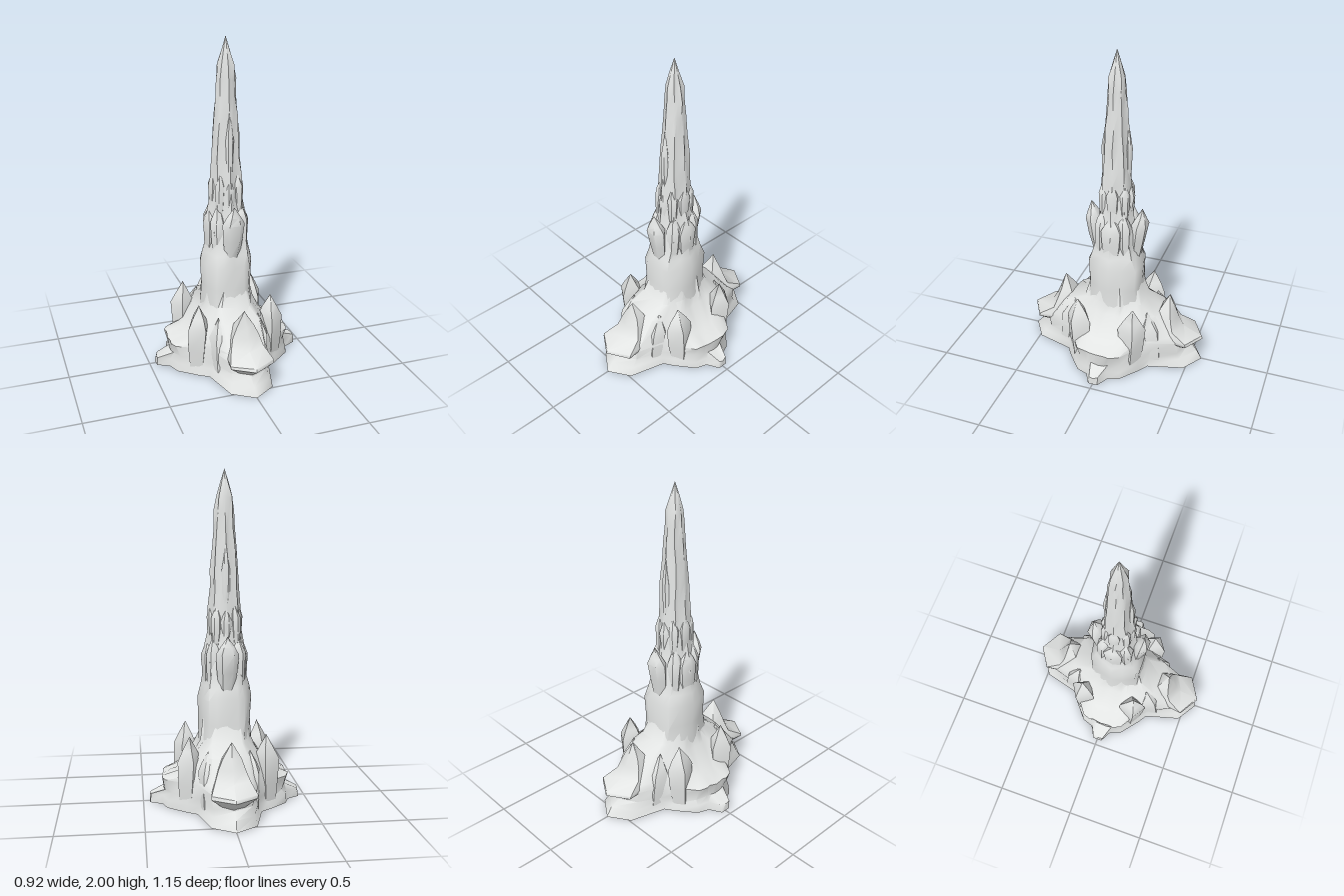
import * as THREE from 'three';
import { toCreasedNormals } from 'three/addons/utils/BufferGeometryUtils.js';

const stone = new THREE.MeshStandardMaterial({ color: 0xe2e4e3 });
stone.name = 'pale grey stone';

// Small repeatable wobble based on position
const wobble = (a, b, c, amount) => {
  const s = Math.sin(a * 127.1 + b * 311.7 + c * 74.7) * 43758.5453;
  return (s - Math.floor(s) - 0.5) * 2 * amount;
};

// Skin a stack of rings of [x, y, z], each running from +x towards +z
function loft(name, rings, rough = 0, crease = 0.9) {
  const n = rings[0].length, pos = [], index = [];
  rings.forEach((ring) => ring.forEach(([x, y, z]) => {
    const k = y > 0.001 && y < 1.9 ? rough : 0;
    pos.push(x + wobble(x, y, z, k), y + wobble(z, x, y, k), z + wobble(y, z, x, k));
  }));
  for (let r = 0; r < rings.length - 1; r++) {
    for (let i = 0; i < n; i++) {
      const a = r * n + i, b = r * n + (i + 1) % n;
      index.push(a, a + n, b, b, a + n, b + n);
    }
  }
  // End caps
  const cap = (ring, first, flip) => {
    const c = pos.length / 3;
    for (let k = 0; k < 3; k++) pos.push(ring.reduce((s, p) => s + p[k], 0) / n);
    for (let i = 0; i < n; i++) {
      const a = first + i, b = first + (i + 1) % n;
      index.push(c, flip ? b : a, flip ? a : b);
    }
  };
  cap(rings[0], 0, false);
  cap(rings[rings.length - 1], (rings.length - 1) * n, true);
  const geo = new THREE.BufferGeometry();
  geo.setAttribute('position', new THREE.Float32BufferAttribute(pos, 3));
  geo.setIndex(index);
  const mesh = new THREE.Mesh(toCreasedNormals(geo, crease), stone);
  mesh.name = name;
  return mesh;
}

// Mirror a quarter outline (from +x round to +z) into a full ring
function fullRing(y, q) {
  const half = [...q, ...q.slice(0, -1).reverse().map(([x, z]) => [-x, z])];
  const back = half.slice(1, -1).reverse().map(([x, z]) => [x, -z]);
  return [...half, ...back].map(([x, z]) => [x, y, z]);
}

// Pointed crystal whose tip leans by (dx, dz) from its foot
function shard(name, [x, y, z], h, rx, rz, { dx = 0, dz = 0, sides = 6, turn = 0 } = {}) {
  const profile = [[0, 0.65], [0.35, 0.88], [0.68, 1], [0.82, 0.62], [1, 0.01]];
  return loft(name, profile.map(([t, r]) => Array.from({ length: sides }, (_, i) => {
    const a = turn + (i / sides) * Math.PI * 2;
    return [x + dx * t + Math.cos(a) * rx * r, y + h * t, z + dz * t + Math.sin(a) * rz * r];
  })), 0.003);
}

export function createModel() {
  const model = new THREE.Group();

  // Rocky cross-shaped foot: ledges, undercut and a roof sweeping up to the tower
  const foot = [
    [0, [[.46, 0], [.46, .03], [.385, .07], [.36, .14], [.25, .23], [.19, .27], [.13, .49], [0, .575]]],
    [.05, [[.46, 0], [.45, .03], [.38, .06], [.35, .14], [.24, .22], [.18, .27], [.12, .46], [0, .54]]],
    [.09, [[.37, 0], [.37, .04], [.36, .07], [.34, .13], [.24, .21], [.17, .27], [.11, .43], [0, .48]]],
    [.17, [[.385, 0], [.38, .05], [.38, .08], [.36, .14], [.25, .21], [.18, .26], [.12, .43], [0, .47]]],
    [.21, [[.28, 0], [.28, .05], [.28, .08], [.27, .13], [.23, .2], [.17, .25], [.12, .39], [0, .42]]],
    [.34, [[.18, 0], [.18, .04], [.18, .08], [.18, .12], [.16, .18], [.15, .22], [.11, .29], [0, .31]]],
    [.4, [[.15, 0], [.15, .04], [.15, .07], [.13, .1], [.12, .13], [.11, .16], [.09, .185], [0, .19]]],
    [.54, [[.13, 0], [.13, .03], [.13, .06], [.12, .08], [.1, .1], [.08, .13], [.06, .14], [0, .14]]],
  ];
  model.add(loft('rockyFoot', foot.map(([y, q]) => fullRing(y, q)), 0.008, 1));

  // Tower: six-sided below, changing to a ridged and grooved needle
  const low = [[1, 0], [.86, .42], [.64, .88], [.4, .96], [0, .98]];
  const high = [[1, 0], [.78, .38], [.74, .7], [.36, .78], [0, 1]];
  const tower = [
    [.2, .17, .2], [.38, .165, .185], [.5, .16, .165], [.65, .165, .175], [.72, .148, .155],
    [.8, .128, .14], [.87, .138, .135], [.95, .12, .115], [1.05, .105, .105], [1.2, .1, .095],
    [1.3, .09, .085], [1.42, .083, .078], [1.55, .073, .072], [1.66, .065, .062],
    [1.76, .06, .053], [1.84, .05, .05], [1.92, .026, .026], [2, .001, .001],
  ];
  model.add(loft('towerNeedle', tower.map(([y, hx, hz]) => {
    const k = THREE.MathUtils.smoothstep(y, 0.6, 0.95);
    return fullRing(y, low.map(([x, z], i) => [
      hx * THREE.MathUtils.lerp(x, high[i][0], k), hz * THREE.MathUtils.lerp(z, high[i][1], k)]));
  }), 0.005, 1));

  for (const s of [1, -1]) {
    const end = s > 0 ? 'front' : 'back';

    // Large overhanging gable crystal at each end
    const gable = [
      [.09, .05, .47, .36], [.165, .13, .575, .28], [.185, .132, .57, .28],
      [.235, .1, .45, .27], [.3, .08, .415, .28], [.36, .055, .39, .3], [.45, .001, .353, .351],
    ].map(([y, w, zFront, zBack]) => {
      const shoulder = zFront - (zFront - zBack) * 0.27;
      const ring = [[w, y, shoulder], [0, y, zFront], [-w, y, shoulder], [-w * .8, y, zBack], [w * .8, y, zBack]];
      return s > 0 ? ring : ring.map(([x, h, z]) => [x, h, -z]).reverse();
    });
    model.add(loft(end + 'Gable', gable, 0.003));

    // Crystals stacked up the front and back of the tower
    model.add(shard(end + 'LowerFin', [0, .7, s * .12], .33, .068, .05, { dz: s * .042 }));
    model.add(shard(end + 'MiddleFin', [0, .92, s * .07], .28, .036, .034, { dz: s * .012 }));
    model.add(shard(end + 'LongRib', [0, 1.08, s * .075], .49, .024, .02, { dz: s * -.005 }));

    for (const m of [1, -1]) {
      const side = m > 0 ? 'Left' : 'Right';
      // Corner spires standing on the foot
      model.add(shard(end + side + 'Spire', [m * .24, 0, s * .165], .445, .074, .088,
        { dx: m * -.012, dz: s * .015, sides: 4, turn: m * s * .3 }));
      // Shoulders between the gable and the tower
      model.add(shard(end + side + 'Shoulder', [m * .135, 0, s * .3], .37, .055, .07,
        { dx: m * -.01, dz: s * -.06, sides: 5, turn: s }));
      // Diagonal crystals on the tower
      model.add(shard(end + side + 'MiddleShard', [m * .078, .7, s * .08], .33, .045, .045, { dx: m * -.008, dz: s * -.015 }));
      model.add(shard(end + side + 'UpperShard', [m * .06, .95, s * .065], .27, .032, .034, { dx: m * -.008, dz: s * -.005 }));
    }
  }

  // Side crystals of the tower
  for (const m of [1, -1]) {
    const side = m > 0 ? 'left' : 'right';
    model.add(shard(side + 'LowerFin', [m * .108, .7, 0], .3, .036, .07, { dx: m * -.005 }));
    model.add(shard(side + 'MiddleFin', [m * .085, .95, 0], .27, .022, .04));
  }
  return model;
}
